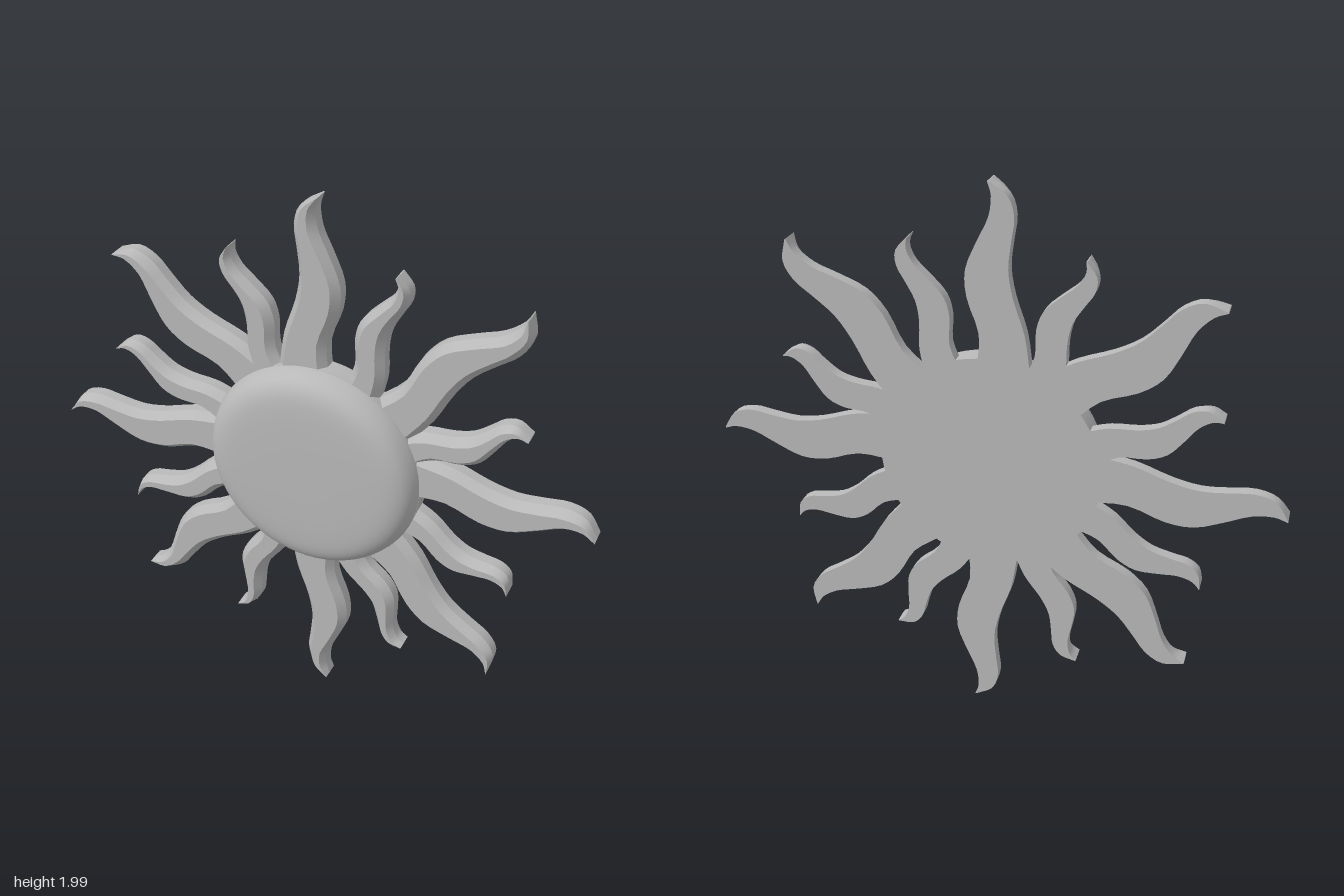
import * as THREE from 'three';

const CX = 0.01, CY = 1.02, R = 0.39;
const BACK = -0.085, FRONT = -0.015;

// Shared wavy outline: x = place along the ray, y = sideways sway, z = half width
const wave = new THREE.CatmullRomCurve3([
  [0, 0, 0.09], [0.2, -0.005, 0.077], [0.4, 0.025, 0.077], [0.55, 0.027, 0.071],
  [0.7, -0.005, 0.056], [0.82, -0.034, 0.042], [0.93, -0.033, 0.026], [1, 0, 0.002],
].map(p => new THREE.Vector3(...p)));

// Lofts one chamfered ray from its root angle to its tip; hook is +1 or -1
function rayGeometry(angle, tipX, tipY, hook, width, sway) {
  const a = THREE.MathUtils.degToRad(angle);
  const root = new THREE.Vector2(CX + 0.36 * Math.cos(a), CY + 0.36 * Math.sin(a));
  const along = new THREE.Vector2(tipX, tipY).sub(root);
  const dir = along.clone().normalize();
  const rings = wave.getPoints(21).map(p => {
    const w = Math.max(p.z * width, 0.002);
    const inset = w - Math.min(0.025, w * 0.6);
    const x = root.x + along.x * p.x, y = root.y + along.y * p.x;
    const profile = [[w, BACK], [w, FRONT - 0.03], [inset, FRONT],
      [-inset, FRONT], [-w, FRONT - 0.03], [-w, BACK]];
    return profile.map(([u, z]) => {
      const s = u + p.y * hook * sway;
      return [x - dir.y * s, y + dir.x * s, z];
    });
  });
  // Each strip has its own vertices, so long edges stay sharp
  const pos = [], idx = [];
  const n = rings[0].length;
  for (let j = 0; j < n; j++) {
    const start = pos.length / 3;
    rings.forEach((ring, i) => {
      pos.push(...ring[j], ...ring[(j + 1) % n]);
      if (i === 0) return;
      const k = start + 2 * (i - 1);
      idx.push(k, k + 1, k + 2, k + 1, k + 3, k + 2);
    });
  }
  // Tip cap
  const base = pos.length / 3;
  rings[rings.length - 1].forEach(p => pos.push(...p));
  for (let j = 1; j < n - 1; j++) idx.push(base, base + j, base + j + 1);
  const geo = new THREE.BufferGeometry();
  geo.setAttribute('position', new THREE.Float32BufferAttribute(pos, 3));
  geo.setIndex(idx);
  geo.computeVertexNormals();
  return geo;
}

export function createModel() {
  const model = new THREE.Group();
  model.name = 'sun';
  const grey = new THREE.MeshStandardMaterial({ color: 0xb8b8b8 });
  grey.name = 'grey';

  // Rays: root angle, tip x, tip y, hook direction
  const longRays = [
    [98, 0.01, 2.0, -1], [42, 0.7, 1.75, 1], [8, 0.998, 1.015, -1], [-47, 0.695, 0.3, -1],
    [-92, 0.065, 0.01, 1], [229, -0.705, 0.325, -1], [180, -0.998, 0.965, 1], [130, -0.745, 1.66, 1],
  ];
  const shortRays = [
    [64, 0.28, 1.795, 1], [24, 0.745, 1.33, -1], [-22, 0.735, 0.69, -1], [-72, 0.365, 0.29, 1],
    [245, -0.315, 0.25, -1], [204, -0.735, 0.65, 1], [162, -0.765, 1.29, 1], [119, -0.305, 1.775, -1],
  ];
  const addRays = (list, name, width, sway) => list.forEach((r, i) => {
    const mesh = new THREE.Mesh(rayGeometry(...r, width, sway), grey);
    mesh.name = name + (i + 1);
    model.add(mesh);
  });
  addRays(longRays, 'longRay', 1, 1);
  addRays(shortRays, 'shortRay', 0.7, 0.85);

  // Flat plate joining the ray roots
  const plate = new THREE.Mesh(new THREE.CylinderGeometry(R, R, FRONT - BACK, 64), grey);
  plate.name = 'backPlate';
  plate.rotation.x = Math.PI / 2;
  plate.position.set(CX, CY, (FRONT + BACK) / 2);
  model.add(plate);

  // Rounded central disc
  const profile = new THREE.SplineCurve([
    [R, -0.02], [0.386, 0.0], [0.373, 0.03], [0.35, 0.054], [0.31, 0.07], [0.24, 0.077], [0.12, 0.08], [0, 0.08],
  ].map(p => new THREE.Vector2(...p))).getPoints(24);
  profile[profile.length - 1].x = 0;
  const disc = new THREE.Mesh(new THREE.LatheGeometry(profile, 64), grey);
  disc.name = 'centralDisc';
  disc.rotation.x = Math.PI / 2;
  disc.position.set(CX, CY, 0);
  model.add(disc);

  return model;
}
